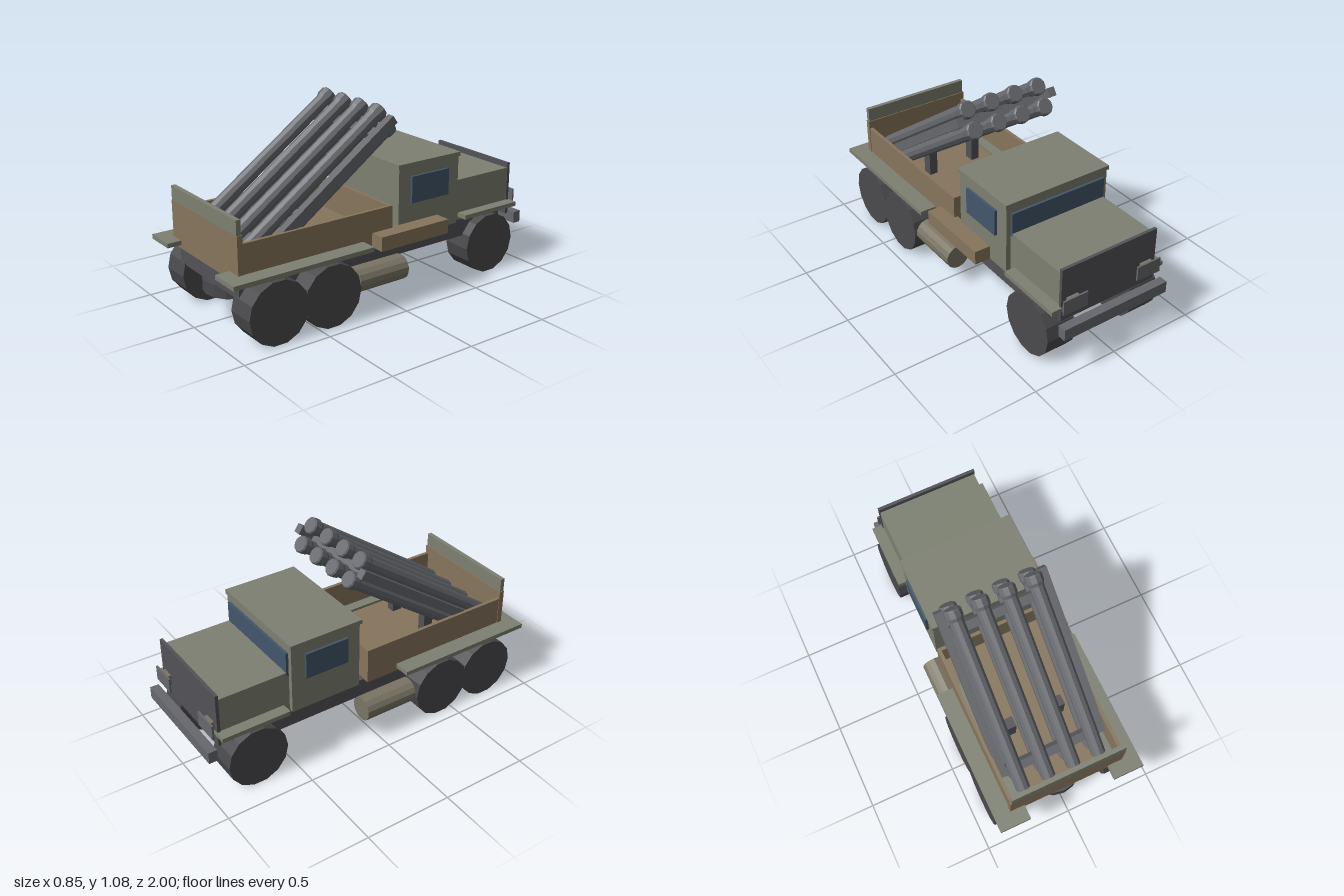
import * as THREE from 'three';

const paint = (color) => {
  const m = new THREE.MeshStandardMaterial({ flatShading: true });
  m.color.set(color);
  return m;
};

export function createModel() {
  const truck = new THREE.Group();
  truck.name = 'rocketTruck';
  const olive = paint(0x7c8070), wood = paint(0x86755c), glass = paint(0x41566a);
  const rubber = paint(0x4a4a4d), steel = paint(0x66686d), dark = paint(0x525257), tankPaint = paint(0x7a7564);

  const add = (name, geometry, material, parent = truck) => {
    const mesh = new THREE.Mesh(geometry, material);
    mesh.name = name;
    parent.add(mesh);
    return mesh;
  };
  // Box given by its limits on each axis
  const box = (name, mat, [x0, x1], [y0, y1], [z0, z1], parent) => {
    const mesh = add(name, new THREE.BoxGeometry(x1 - x0, y1 - y0, z1 - z0), mat, parent);
    mesh.position.set((x0 + x1) / 2, (y0 + y1) / 2, (z0 + z1) / 2);
    return mesh;
  };
  // Same box on both sides
  const pair = (name, mat, [x0, x1], y, z, parent) => {
    box(name + 'Left', mat, [x0, x1], y, z, parent);
    box(name + 'Right', mat, [-x1, -x0], y, z, parent);
  };

  // Chassis and bumper
  box('chassis', dark, [-0.3, 0.3], [0.24, 0.345], [-0.85, 0.9]);
  box('bumper', steel, [-0.33, 0.33], [0.24, 0.308], [-1, -0.95]);

  // Wheels, spare wheel and tanks
  for (const side of [-1, 1]) {
    for (const [name, x, z] of [['frontWheel', 0.272, -0.73], ['middleWheel', 0.338, 0.42], ['rearWheel', 0.338, 0.745]]) {
      const wheel = add(name, new THREE.CylinderGeometry(0.175, 0.175, 0.172, 14), rubber);
      wheel.rotation.z = Math.PI / 2;
      wheel.position.set(side * x, 0.175, z);
    }
    const tank = add('fuelTank', new THREE.CylinderGeometry(0.07, 0.07, 0.32, 14), tankPaint);
    tank.rotation.x = Math.PI / 2;
    tank.position.set(side * 0.347, 0.193, 0.08);
  }
  add('spareWheel', new THREE.CylinderGeometry(0.16, 0.16, 0.07, 16), rubber).position.set(0, 0.205, 0.76);

  // Cab with windows
  box('cab', olive, [-0.322, 0.322], [0.34, 0.737], [-0.5, -0.08]);
  box('roof', olive, [-0.33, 0.33], [0.733, 0.757], [-0.507, -0.07]);
  box('windshield', glass, [-0.295, 0.295], [0.56, 0.697], [-0.515, -0.49]);
  pair('sideWindow', glass, [0.31, 0.337], [0.53, 0.68], [-0.42, -0.16]);

  // Hood, grille and lamps
  box('hood', olive, [-0.295, 0.295], [0.34, 0.58], [-0.915, -0.49]);
  box('grille', dark, [-0.3, 0.3], [0.3, 0.61], [-0.926, -0.908]);
  pair('lampStem', tankPaint, [0.2, 0.27], [0.37, 0.435], [-0.952, -0.92]);
  pair('lampPlate', steel, [0.16, 0.31], [0.36, 0.445], [-0.96, -0.95]);

  // Fenders and side box
  pair('frontFender', olive, [0.2, 0.358], [0.36, 0.385], [-0.93, -0.535]);
  pair('rearFender', olive, [0.25, 0.427], [0.36, 0.385], [0.163, 1]);
  box('sideLocker', wood, [0.31, 0.415], [0.34, 0.42], [-0.355, 0.105]);

  // Cargo bed
  box('bedFloor', wood, [-0.325, 0.325], [0.34, 0.37], [-0.03, 0.9]);
  pair('bedSide', wood, [0.312, 0.332], [0.34, 0.545], [-0.03, 0.9]);
  box('bedFront', wood, [-0.315, 0.315], [0.34, 0.545], [-0.03, -0.01]);
  box('tailgate', wood, [-0.335, 0.335], [0.34, 0.59], [0.89, 0.92]);
  box('tailgateTop', olive, [-0.33, 0.33], [0.59, 0.67], [0.895, 0.92]);

  // Launcher, built along -z with its muzzle end at the origin, then tilted up
  const launcher = new THREE.Group();
  launcher.name = 'launcher';
  launcher.position.set(0, 1.003, -0.058);
  launcher.rotation.x = THREE.MathUtils.degToRad(35);
  truck.add(launcher);

  // Muzzle collar and tube as one turned profile
  const profile = [[0, 0], [0.043, 0], [0.049, -0.008], [0.049, -0.045], [0.04, -0.065], [0.04, -1.06], [0, -1.06]]
    .map(([r, y]) => new THREE.Vector2(r, y)).reverse();
  const tubeGeometry = new THREE.LatheGeometry(profile, 10).rotateX(-Math.PI / 2);
  for (const y of [-0.057, 0.057]) {
    for (const x of [-0.225, -0.075, 0.075, 0.225]) {
      add('launchTube', tubeGeometry, steel, launcher).position.set(x, y, 0);
    }
  }
  pair('launcherRail', steel, [0.27, 0.315], [-0.02, 0.03], [0, 0.97], launcher);
  for (const z of [0.125, 0.95]) {
    box('launcherCrossbar', steel, [-0.28, 0.28], [-0.025, 0.025], [z - 0.025, z + 0.025], launcher);
  }

  // Launcher mount on the bed
  pair('launcherMount', dark, [0.12, 0.17], [0.36, 0.52], [0.48, 0.54]);

  return truck;
}
